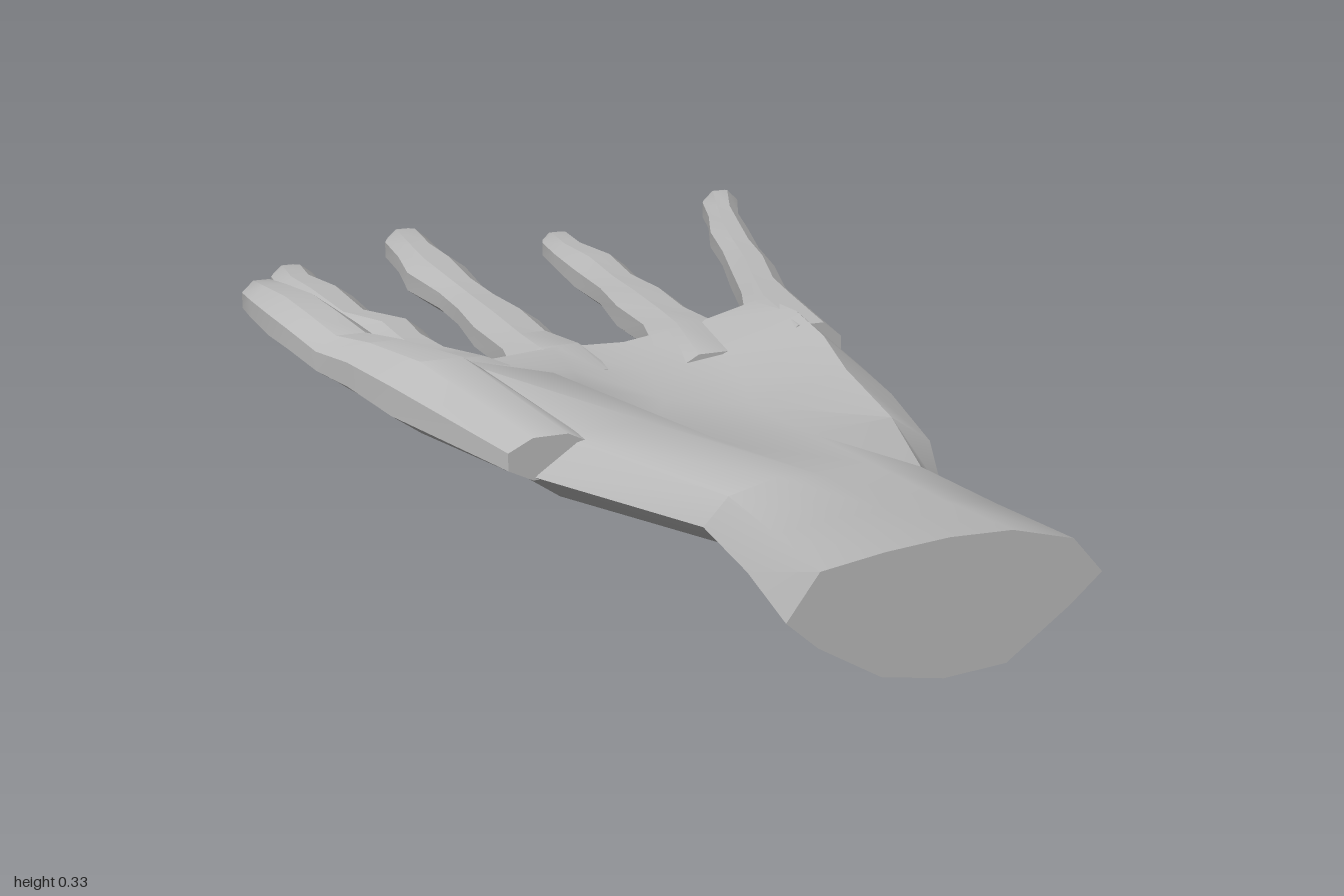
import * as THREE from 'three';
import { toCreasedNormals } from 'three/addons/utils/BufferGeometryUtils.js';

// Skins a list of rings (counter-clockwise seen from +z, running towards -z) and caps both ends.
function loft(rings, crease) {
  const n = rings[0].length, pos = rings.flat(2), idx = [];
  for (let i = 0; i < rings.length - 1; i++) {
    for (let j = 0; j < n; j++) {
      const k = (j + 1) % n;
      const a = i * n + j, b = i * n + k, c = a + n, d = b + n;
      idx.push(a, c, d, a, d, b);
    }
  }
  const last = (rings.length - 1) * n;
  [0, last].forEach((start, end) => {
    const centre = pos.length / 3;
    const ring = rings[end ? rings.length - 1 : 0];
    for (let c = 0; c < 3; c++) pos.push(ring.reduce((s, p) => s + p[c], 0) / n);
    for (let j = 0; j < n; j++) {
      const a = start + j, b = start + (j + 1) % n;
      if (end) idx.push(centre, b, a); else idx.push(centre, a, b);
    }
  });
  const geometry = new THREE.BufferGeometry();
  geometry.setAttribute('position', new THREE.Float32BufferAttribute(pos, 3));
  geometry.setIndex(idx);
  return toCreasedNormals(geometry, crease);
}

// Palm ring from: z, left x, right x, left y, right y, heights on top and underneath (left to right).
const columns = [0.1, 0.3, 0.5, 0.7, 0.9];
function palmRing([z, x0, x1, y0, y1, tops, bottoms]) {
  const point = (y, i) => [x0 + (x1 - x0) * columns[i], y, z];
  return [[x0, y0, z], ...bottoms.map(point), [x1, y1, z], ...tops.map(point).reverse()];
}

// Digit ring from: x, y, z, half width, half height; eight sides, squarish.
function digitRing([x, y, z, w, h]) {
  return Array.from({ length: 8 }, (_, i) => {
    const a = (i + 0.5) * Math.PI / 4;
    return [x + Math.cos(a) * w * 1.08, y + Math.sin(a) * h * 1.08, z];
  });
}

// Wrist, heel, thumb mound, cupped palm and knuckle line
const palmRows = [
  [1.0, -0.115, 0.385, 0.125, 0.13, [0.195, 0.21, 0.218, 0.215, 0.188], [0.08, 0.02, 0.002, 0.01, 0.085]],
  [0.8, -0.085, 0.365, 0.12, 0.12, [0.172, 0.185, 0.185, 0.19, 0.172], [0.08, 0.038, 0.025, 0.032, 0.075]],
  [0.59, -0.065, 0.345, 0.11, 0.11, [0.155, 0.175, 0.165, 0.175, 0.16], [0.075, 0.05, 0.045, 0.05, 0.07]],
  [0.4, -0.3, 0.42, 0.165, 0.125, [0.215, 0.222, 0.165, 0.165, 0.175], [0.115, 0.075, 0.05, 0.048, 0.08]],
  [0.2, -0.43, 0.45, 0.245, 0.14, [0.295, 0.25, 0.14, 0.15, 0.195], [0.19, 0.11, 0.058, 0.045, 0.09]],
  [0.07, -0.29, 0.455, 0.19, 0.15, [0.22, 0.175, 0.132, 0.15, 0.215], [0.14, 0.08, 0.052, 0.05, 0.1]],
  [-0.05, -0.255, 0.455, 0.14, 0.16, [0.185, 0.165, 0.142, 0.16, 0.225], [0.085, 0.058, 0.045, 0.055, 0.115]],
  [-0.18, -0.24, 0.45, 0.11, 0.16, [0.155, 0.165, 0.16, 0.18, 0.215], [0.07, 0.05, 0.045, 0.065, 0.125]],
];

const digits = {
  thumb: [
    [-0.25, 0.19, 0.42, 0.07, 0.035], [-0.365, 0.245, 0.23, 0.085, 0.06], [-0.425, 0.26, 0.12, 0.065, 0.05],
    [-0.46, 0.262, 0.04, 0.06, 0.04], [-0.49, 0.282, -0.03, 0.058, 0.042], [-0.51, 0.29, -0.1, 0.055, 0.045],
    [-0.53, 0.295, -0.18, 0.044, 0.038], [-0.54, 0.295, -0.235, 0.035, 0.033], [-0.543, 0.297, -0.25, 0.024, 0.022],
  ],
  indexFinger: [
    [-0.16, 0.12, -0.06, 0.085, 0.05], [-0.19, 0.105, -0.19, 0.083, 0.056], [-0.22, 0.105, -0.3, 0.058, 0.045],
    [-0.232, 0.11, -0.39, 0.049, 0.04], [-0.238, 0.112, -0.47, 0.056, 0.044], [-0.29, 0.118, -0.56, 0.047, 0.036],
    [-0.31, 0.122, -0.7, 0.058, 0.042], [-0.33, 0.128, -0.8, 0.042, 0.034], [-0.327, 0.13, -0.875, 0.042, 0.032],
    [-0.327, 0.13, -0.91, 0.028, 0.024],
  ],
  middleFinger: [
    [-0.01, 0.11, -0.06, 0.09, 0.045], [-0.015, 0.105, -0.19, 0.088, 0.06], [-0.022, 0.11, -0.31, 0.058, 0.045],
    [-0.025, 0.112, -0.45, 0.064, 0.046], [-0.035, 0.12, -0.56, 0.05, 0.038], [-0.042, 0.122, -0.67, 0.046, 0.038],
    [-0.055, 0.13, -0.79, 0.06, 0.044], [-0.06, 0.14, -0.88, 0.046, 0.038], [-0.062, 0.148, -0.97, 0.045, 0.038],
    [-0.062, 0.15, -1.0, 0.032, 0.03],
  ],
  ringFinger: [
    [0.23, 0.12, -0.05, 0.08, 0.045], [0.24, 0.125, -0.18, 0.078, 0.06], [0.247, 0.13, -0.3, 0.056, 0.045],
    [0.245, 0.132, -0.42, 0.06, 0.047], [0.25, 0.13, -0.56, 0.045, 0.038], [0.252, 0.132, -0.69, 0.053, 0.042],
    [0.236, 0.138, -0.8, 0.038, 0.034], [0.236, 0.142, -0.88, 0.036, 0.032], [0.237, 0.143, -0.91, 0.026, 0.024],
  ],
  littleFinger: [
    [0.39, 0.165, 0.0, 0.06, 0.05], [0.4, 0.17, -0.17, 0.062, 0.052], [0.42, 0.182, -0.27, 0.045, 0.04],
    [0.447, 0.192, -0.38, 0.045, 0.042], [0.465, 0.205, -0.48, 0.038, 0.034], [0.48, 0.218, -0.57, 0.04, 0.036],
    [0.502, 0.23, -0.65, 0.032, 0.03], [0.52, 0.24, -0.71, 0.038, 0.036], [0.525, 0.242, -0.73, 0.032, 0.03],
  ],
};

export function createModel() {
  const skin = new THREE.MeshStandardMaterial({ color: 0xb8b8b8 });
  skin.name = 'greySkin';
  const hand = new THREE.Group();
  hand.name = 'hand';

  const palm = new THREE.Mesh(loft(palmRows.map(palmRing), 0.75), skin);
  palm.name = 'palmAndWrist';
  hand.add(palm);

  for (const [name, rows] of Object.entries(digits)) {
    const digit = new THREE.Mesh(loft(rows.map(digitRing), 0.6), skin);
    digit.name = name;
    hand.add(digit);
  }
  return hand;
}
